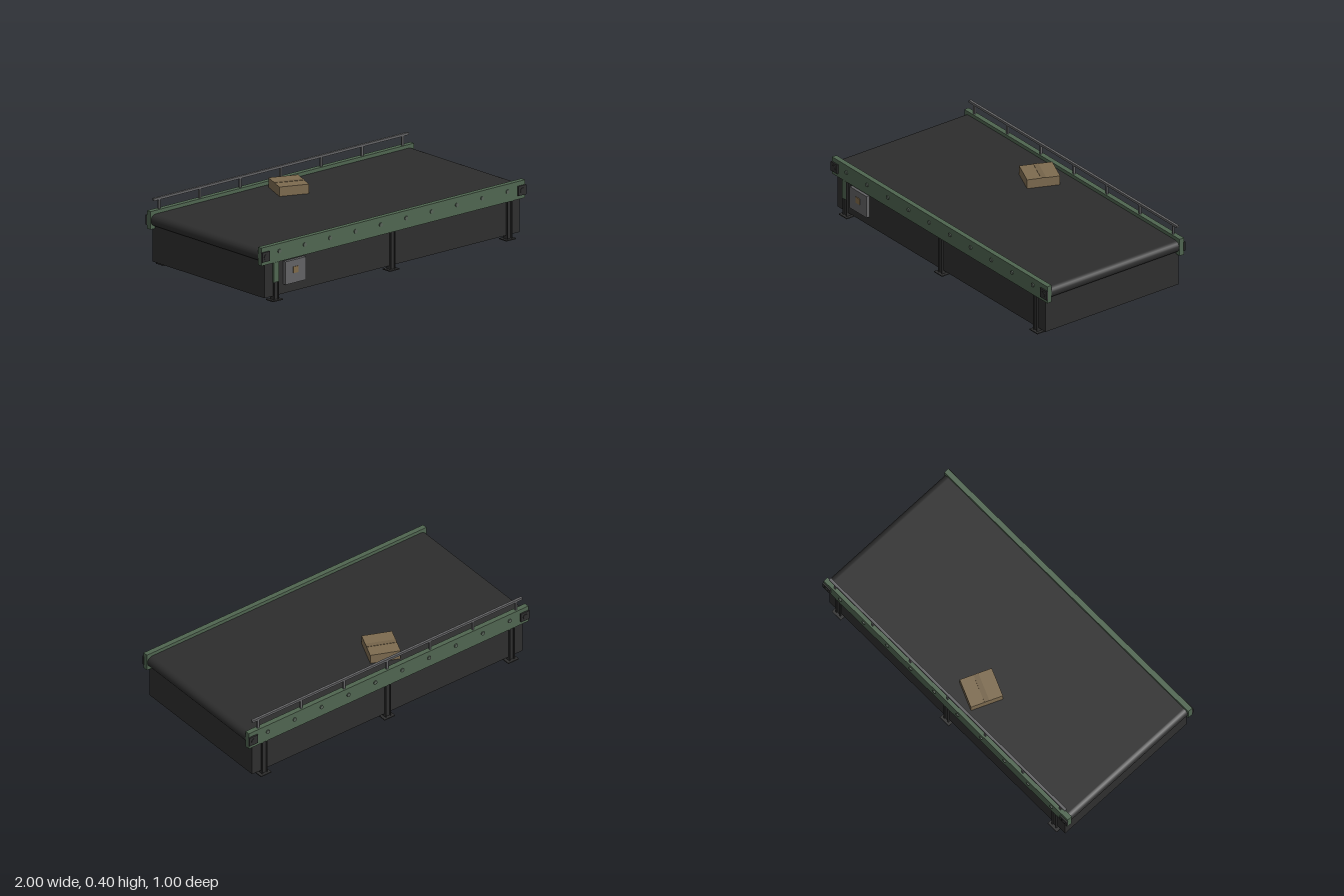
import * as THREE from 'three';

const mat = (name, color) => {
  const m = new THREE.MeshStandardMaterial({ color });
  m.name = name;
  return m;
};

export function createModel() {
  const green = mat('green paint', 0x4f6550);
  const dark = mat('dark steel', 0x2e2e2e);
  const rubber = mat('belt rubber', 0x2d2d2d);
  const steel = mat('grey steel', 0x626264);
  const bolt = mat('bolt grey', 0x586459);
  const card = mat('cardboard', 0x7e6c50);
  const tapeMat = mat('packing tape', 0x75644a);
  const amber = mat('amber switch', 0x806a48);

  const model = new THREE.Group();
  model.name = 'beltConveyor';

  const add = (name, geo, m, x, y, z, parent = model) => {
    const mesh = new THREE.Mesh(geo, m);
    mesh.name = name;
    mesh.position.set(x, y, z);
    parent.add(mesh);
    return mesh;
  };
  // box given by its lower and upper limits on each axis
  const box = (name, m, x0, x1, y0, y1, z0, z1, parent) =>
    add(name, new THREE.BoxGeometry(x1 - x0, y1 - y0, z1 - z0), m,
      (x0 + x1) / 2, (y0 + y1) / 2, (z0 + z1) / 2, parent);
  // same, but mirrored to the front (s = 1) or back (s = -1)
  const sideBox = (name, m, s, x0, x1, y0, y1, z0, z1, parent) =>
    box(name, m, x0, x1, y0, y1, Math.min(s * z0, s * z1), Math.max(s * z0, s * z1), parent);

  // belt surface and end rollers
  box('belt', rubber, -0.96, 0.96, 0.304, 0.312, -0.457, 0.457);
  for (const s of [-1, 1]) {
    const roller = new THREE.CylinderGeometry(0.035, 0.035, 0.914, 24).rotateX(Math.PI / 2);
    add('endRoller', roller, rubber, s * 0.96, 0.277, 0);
    // end skirt panels
    box('endSkirt', dark, s * 0.96 - 0.005, s * 0.96 + 0.005, 0.027, 0.243, -0.476, 0.476);
  }

  for (const s of [-1, 1]) {
    // side frame and skirt
    sideBox('sideRail', green, s, -0.998, 0.998, 0.227, 0.333, 0.457, 0.488);
    sideBox('sideSkirt', dark, s, -0.965, 0.965, 0.027, 0.228, 0.466, 0.476);

    // bearing blocks with shaft ends
    for (const x of [-0.97, 0.97]) {
      sideBox('bearingBlock', dark, s, x - 0.03, x + 0.03, 0.249, 0.306, 0.486, 0.497);
      const shaft = new THREE.CylinderGeometry(0.016, 0.016, 0.012, 16).rotateX(Math.PI / 2);
      add('shaftEnd', shaft, dark, x, 0.277, s * 0.494);
    }

    // row of bolts along the rail
    for (let i = 0; i < 10; i++) {
      const head = new THREE.CylinderGeometry(0.012, 0.012, 0.012, 12).rotateX(Math.PI / 2);
      add('railBolt', head, bolt, -0.864 + i * 0.192, 0.289, s * 0.488);
    }

    // H-section legs on foot plates
    for (const x of [-0.883, 0, 0.883]) {
      const leg = new THREE.Group();
      leg.name = 'leg';
      model.add(leg);
      for (const e of [-1, 1]) {
        const fx = x + e * 0.016;
        sideBox('legFlange', dark, s, fx - 0.003, fx + 0.003, 0.005, 0.23, 0.451, 0.487, leg);
      }
      sideBox('legWeb', dark, s, x - 0.016, x + 0.016, 0.005, 0.23, 0.458, 0.48, leg);
      sideBox('footPlate', dark, s, x - 0.037, x + 0.037, 0, 0.006, 0.437, 0.5, leg);
    }
  }

  // drive cover strip on the front leg
  box('coverStrip', green, -0.904, -0.868, 0.11, 0.228, 0.47, 0.489);

  // control box with switch
  box('controlBox', steel, -0.824, -0.668, 0.082, 0.218, 0.475, 0.496);
  box('switchPlate', amber, -0.766, -0.727, 0.14, 0.178, 0.495, 0.5);

  // guard rail along the back
  box('guardRail', steel, -0.965, 0.965, 0.388, 0.402, -0.479, -0.463);
  for (let i = -3; i <= 3; i++) {
    const x = i * 0.307;
    box('guardPost', steel, x - 0.006, x + 0.006, 0.33, 0.39, -0.477, -0.465);
  }

  // taped carton lying askew on the belt
  const carton = new THREE.Group();
  carton.name = 'carton';
  carton.position.set(-0.093, 0.312, -0.298);
  carton.rotation.y = -0.4;
  model.add(carton);
  box('cartonBody', card, -0.089, 0.089, 0, 0.056, -0.097, 0.097, carton);
  box('cartonTape', tapeMat, -0.089, 0.089, 0.055, 0.058, -0.015, 0.015, carton);

  return model;
}
